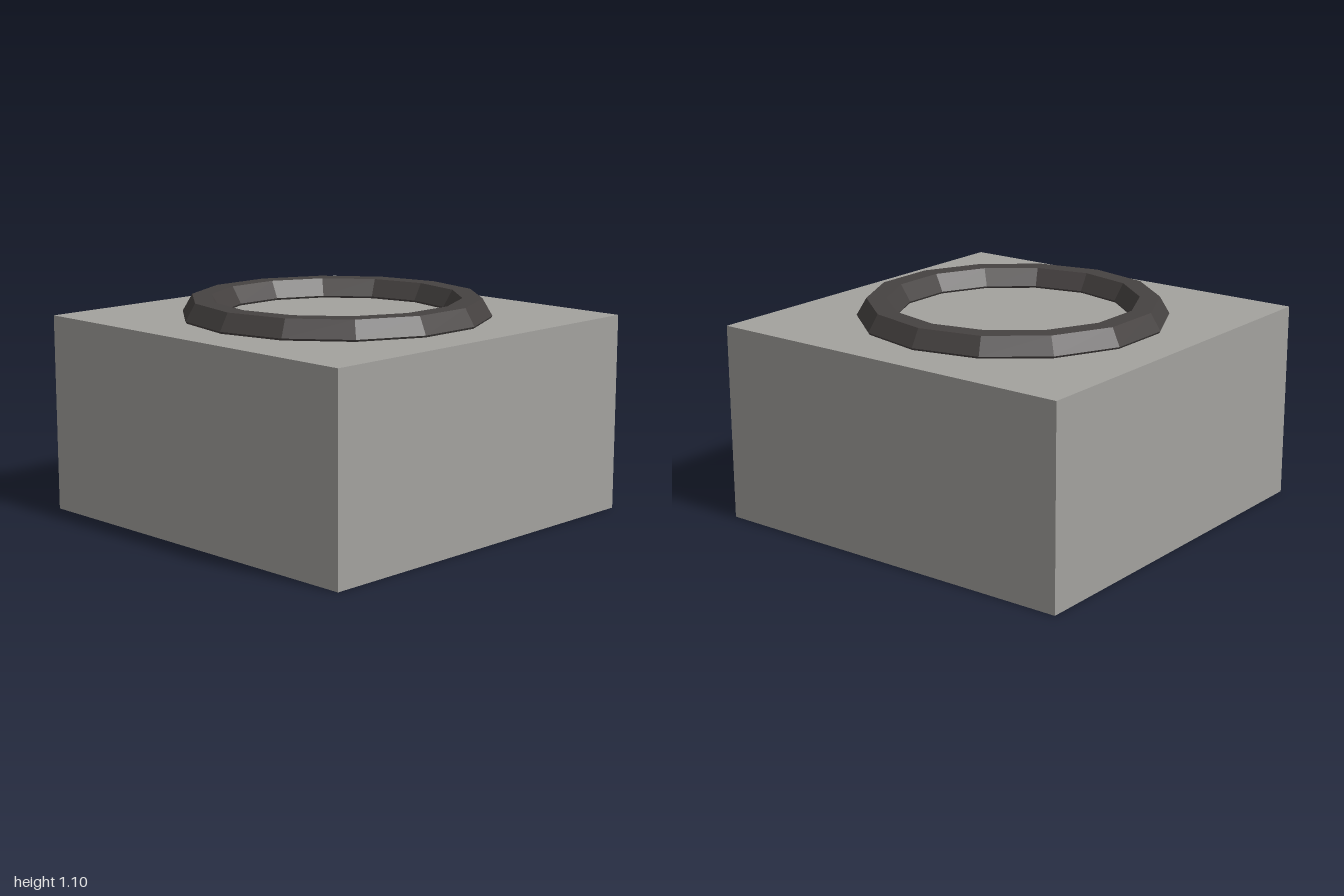
import * as THREE from 'three';

export function createModel() {
  const model = new THREE.Group();

  // Square block, standing on the ground
  const block = new THREE.Mesh(
    new THREE.BoxGeometry(2, 1, 2).translate(0, 0.5, 0),
    new THREE.MeshStandardMaterial({ color: 0xa3a29e, flatShading: true })
  );
  block.name = 'block';

  // Dark 14-sided ring with a hexagonal section, half sunk into the top
  const ring = new THREE.Mesh(
    new THREE.TorusGeometry(0.68, 0.1, 6, 14).rotateX(-Math.PI / 2),
    new THREE.MeshStandardMaterial({ color: 0x464241, flatShading: true })
  );
  ring.name = 'topRing';
  ring.position.y = 1.01;

  model.add(block, ring);
  return model;
}
